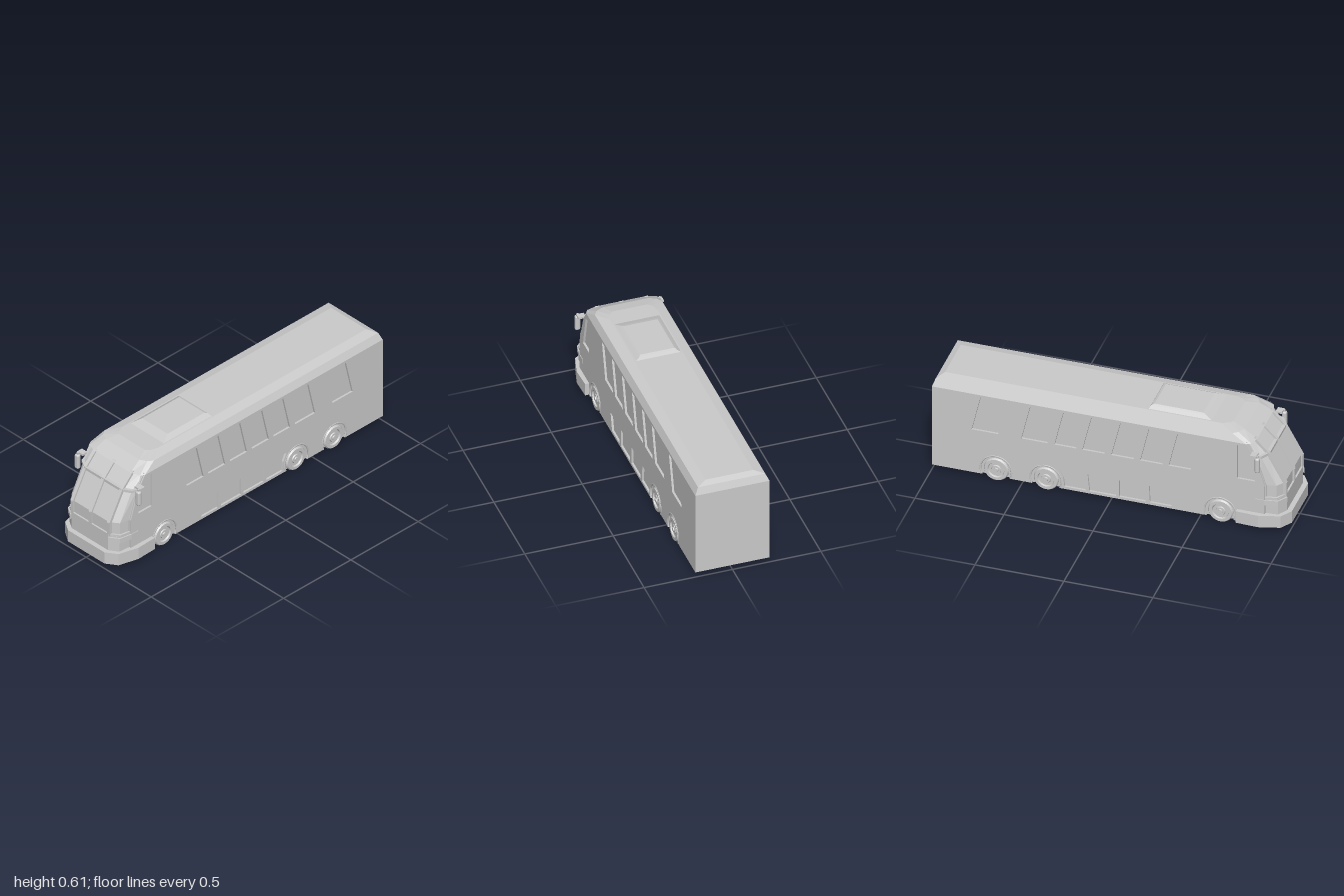
import * as THREE from 'three';
import { RoundedBoxGeometry } from 'three/addons/geometries/RoundedBoxGeometry.js';

const flat = new THREE.MeshStandardMaterial({ color: 0xcccccc, flatShading: true });
const smooth = new THREE.MeshStandardMaterial({ color: 0xcccccc });
const SIDES = [1, -1];
const AXLES = [-0.64, -0.36, 0.62];

function add(parent, name, geometry, material = flat) {
  const mesh = new THREE.Mesh(geometry, material);
  mesh.name = name;
  parent.add(mesh);
  return mesh;
}

// Joins horizontal rings of [x, z] points, stacked in y, and caps both ends
function loft(levels) {
  const n = levels[0].ring.length, pos = [], idx = [];
  for (const { y, ring } of levels) for (const [x, z] of ring) pos.push(x, y, z);
  for (let i = 0; i < levels.length - 1; i++) for (let j = 0; j < n; j++) {
    const a = i * n + j, b = i * n + (j + 1) % n;
    idx.push(a, b, b + n, a, b + n, a + n);
  }
  const top = (levels.length - 1) * n;
  for (let j = 1; j < n - 1; j++) idx.push(0, j + 1, j, top, top + j, top + j + 1);
  const g = new THREE.BufferGeometry();
  g.setAttribute('position', new THREE.Float32BufferAttribute(pos, 3));
  g.setIndex(idx);
  const out = g.toNonIndexed();
  out.computeVertexNormals();
  return out;
}

// Extrudes a plan outline of [x, z] points from y0 to y1
function planSlab(points, y0, y1) {
  const shape = new THREE.Shape(points.map(([x, z]) => new THREE.Vector2(x, -z)));
  return new THREE.ExtrudeGeometry(shape, { depth: y1 - y0, bevelEnabled: false })
    .rotateX(-Math.PI / 2).translate(0, y0, 0);
}

// Flat strip from point a to point b, its thickness facing forward
function bar(parent, name, a, b, width) {
  const p = new THREE.Vector3(...a), q = new THREE.Vector3(...b);
  const m = add(parent, name, new THREE.BoxGeometry(width, 0.02, p.distanceTo(q) + 0.008));
  m.up.set(0, 0, 1);
  m.position.copy(p).add(q).multiplyScalar(0.5);
  m.lookAt(q);
}

// Side panel in (z, y) with wheel arches, windows and locker recesses
function sideSkin() {
  const s = new THREE.Shape();
  s.moveTo(-1, 0.03);
  for (const z of AXLES) {
    s.lineTo(z - 0.0784, 0.03);
    s.absarc(z, 0.07, 0.088, Math.PI + 0.472, -0.472, true);
  }
  for (const p of [[0.87, 0.03], [0.87, 0.285], [0.815, 0.455], [0.765, 0.535], [-1, 0.535]]) s.lineTo(...p);
  const hole = pts => s.holes.push(new THREE.Path(pts.map(p => new THREE.Vector2(...p))));
  // passenger windows: [front, back] along the top edge
  for (const [f, b] of [[0.51, 0.38], [0.35, 0.22], [0.188, 0.058], [0.025, -0.105],
    [-0.135, -0.262], [-0.295, -0.448], [-0.572, -0.727]])
    hole([[f, 0.52], [b, 0.52], [b - 0.05, 0.305], [f - 0.055, 0.305]]);
  // cab window
  hole([[0.815, 0.305], [0.772, 0.49], [0.715, 0.52], [0.715, 0.305]]);
  // luggage lockers
  hole([[0.37, 0.15], [0.345, 0.045], [0.225, 0.045], [0.22, 0.15]]);
  hole([[0.2, 0.15], [0.2, 0.045], [0.052, 0.045], [0.052, 0.15]]);
  hole([[0.03, 0.15], [0.035, 0.045], [-0.115, 0.045], [-0.125, 0.15]]);
  hole([[-0.145, 0.15], [-0.135, 0.045], [-0.255, 0.045], [-0.262, 0.1], [-0.285, 0.15]]);
  return new THREE.ExtrudeGeometry(s, { depth: 0.012, bevelEnabled: false, curveSegments: 16 })
    .rotateY(-Math.PI / 2);
}

export function createModel() {
  const bus = new THREE.Group();
  bus.name = 'coach';

  // Hull with glass set back, then brow and roof: y, w, zRear, zCorner, xMid, zMid, xFront, zFront
  const levels = [
    [0.03, 0.198, -1, 0.87, 0.192, 0.938, 0.14, 0.972],
    [0.205, 0.198, -1, 0.87, 0.192, 0.938, 0.14, 0.972],
    [0.205, 0.198, -1, 0.865, 0.186, 0.928, 0.138, 0.962],
    [0.285, 0.198, -1, 0.865, 0.186, 0.928, 0.138, 0.962],
    [0.455, 0.198, -1, 0.81, 0.186, 0.84, 0.138, 0.868],
    [0.535, 0.198, -1, 0.76, 0.186, 0.77, 0.138, 0.79],
    [0.535, 0.21, -1, 0.765, 0.195, 0.79, 0.14, 0.806],
    [0.577, 0.19, -0.985, 0.68, 0.17, 0.71, 0.13, 0.73],
    [0.59, 0.135, -0.95, 0.6, 0.12, 0.64, 0.1, 0.66],
  ];
  add(bus, 'hullAndRoof', loft(levels.map(([y, w, zr, zc, xm, zm, xf, zf]) => ({
    y, ring: [[xf, zf], [xm, zm], [w, zc], [w, zr], [-w, zr], [-w, zc], [-xm, zm], [-xf, zf]],
  }))));

  // Windscreen frame
  const frame = new THREE.Group();
  frame.name = 'windscreenFrame';
  bus.add(frame);
  const glass = levels.slice(2, 6);
  for (let i = 0; i < glass.length - 1; i++) {
    const [a, b] = [glass[i], glass[i + 1]];
    bar(frame, 'centreMullion', [0, a[0], a[7]], [0, b[0], b[7]], 0.022);
    for (const s of SIDES) {
      bar(frame, 'mullion', [s * 0.14, a[0], a[7]], [s * 0.14, b[0], b[7]], 0.02);
      bar(frame, 'cornerPost', [s * 0.195, a[0], a[3]], [s * 0.195, b[0], b[3]], 0.014);
    }
  }
  for (const [y, w, , zc, xm, zm, xf, zf] of [glass[0], glass[2]]) {
    bar(frame, 'crossRail', [-xf, y, zf], [xf, y, zf], 0.016);
    for (const s of SIDES) {
      bar(frame, 'crossRail', [s * xf, y, zf], [s * xm, y, zm], 0.016);
      bar(frame, 'crossRail', [s * xm, y, zm], [s * w, y, zc], 0.016);
    }
  }

  // Front bumper
  add(bus, 'bumper', planSlab([[0.14, 1], [0.205, 0.957], [0.237, 0.84], [0.233, 0.715],
    [-0.233, 0.715], [-0.237, 0.84], [-0.205, 0.957], [-0.14, 1]], 0.032, 0.106));

  // Roof hatch
  const rect = (x, z0, z1) => [[x, z1], [x, z0], [-x, z0], [-x, z1]];
  add(bus, 'roofHatch', loft([
    { y: 0.585, ring: rect(0.135, 0.19, 0.56) },
    { y: 0.603, ring: rect(0.108, 0.2, 0.51) },
    { y: 0.609, ring: rect(0.098, 0.215, 0.49) },
  ]));

  const skin = sideSkin();
  const wheel = new THREE.LatheGeometry([[0, 0], [0.064, 0], [0.07, 0.007], [0.07, 0.064], [0.064, 0.073],
    [0.047, 0.073], [0.043, 0.064], [0.027, 0.064], [0.024, 0.07], [0.013, 0.07], [0.011, 0.076], [0, 0.076],
  ].map(p => new THREE.Vector2(...p)), 36).rotateZ(-Math.PI / 2);
  const lip = new THREE.TorusGeometry(0.088, 0.005, 6, 28, Math.PI + 0.9).rotateZ(-0.45).rotateY(Math.PI / 2);

  for (const s of SIDES) {
    const side = s > 0 ? 'left' : 'right';
    add(bus, side + 'SidePanel', skin).position.x = s > 0 ? 0.21 : -0.198;

    // Wheels and arch lips
    for (const z of AXLES) {
      const w = add(bus, side + 'Wheel', wheel);
      w.position.set(s * 0.137, 0.07, z);
      if (s < 0) w.rotation.y = Math.PI;
      add(bus, side + 'ArchLip', lip, smooth).position.set(s * 0.208, 0.07, z);
    }

    // Wraparound headlight
    add(bus, side + 'Headlight', planSlab([[0.145, 0.978], [0.2, 0.942], [0.213, 0.87], [0.214, 0.82],
      [0.19, 0.82], [0.18, 0.92], [0.145, 0.95]].map(([x, z]) => [s * x, z]), 0.165, 0.196));

    // Mirror on its arm
    add(bus, side + 'MirrorArm', new THREE.BoxGeometry(0.042, 0.011, 0.035)).position.set(s * 0.221, 0.484, 0.815);
    add(bus, side + 'MirrorStem', new THREE.BoxGeometry(0.01, 0.02, 0.012)).position.set(s * 0.233, 0.479, 0.835);
    add(bus, side + 'Mirror', new RoundedBoxGeometry(0.03, 0.092, 0.026, 3, 0.01), smooth)
      .position.set(s * 0.234, 0.431, 0.837);
  }
  return bus;
}
